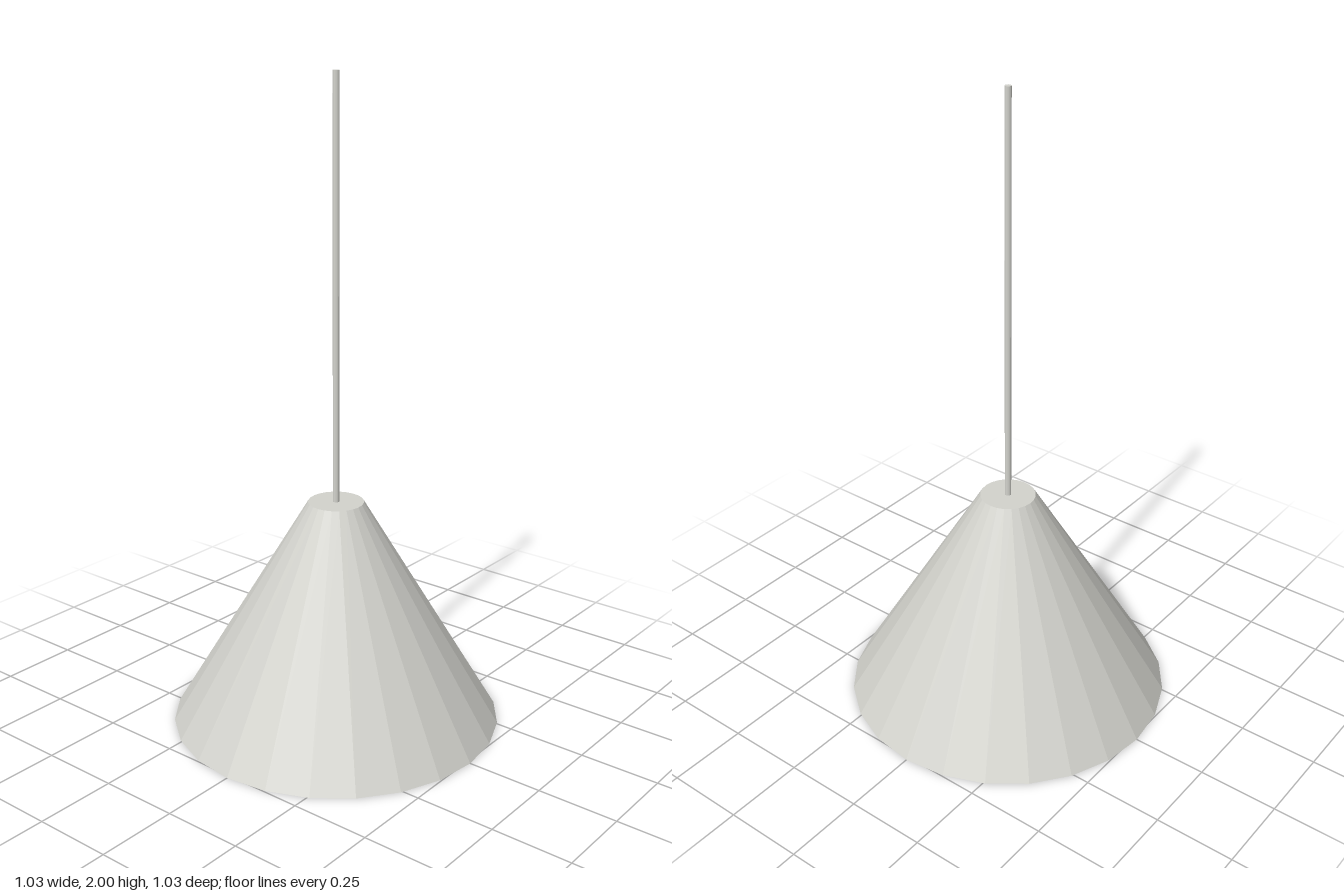
import * as THREE from 'three';

export function createModel() {
  const model = new THREE.Group();
  model.name = 'pendantLamp';

  const paint = new THREE.MeshStandardMaterial({ color: 0xd2d2cc, flatShading: true });
  paint.name = 'warm light grey';

  // Upright tapered part standing on a given height
  function addTaper(name, topRadius, bottomRadius, bottom, top, sides) {
    const height = top - bottom;
    const geometry = new THREE.CylinderGeometry(topRadius, bottomRadius, height, sides);
    geometry.translate(0, bottom + height / 2, 0);
    const mesh = new THREE.Mesh(geometry, paint);
    mesh.name = name;
    model.add(mesh);
  }

  // Faceted conical shade, closed at both ends
  addTaper('shade', 0.086, 0.513, 0, 0.715, 24);

  // Thin hanging rod
  addTaper('rod', 0.01, 0.01, 0.715, 2, 12);

  return model;
}
